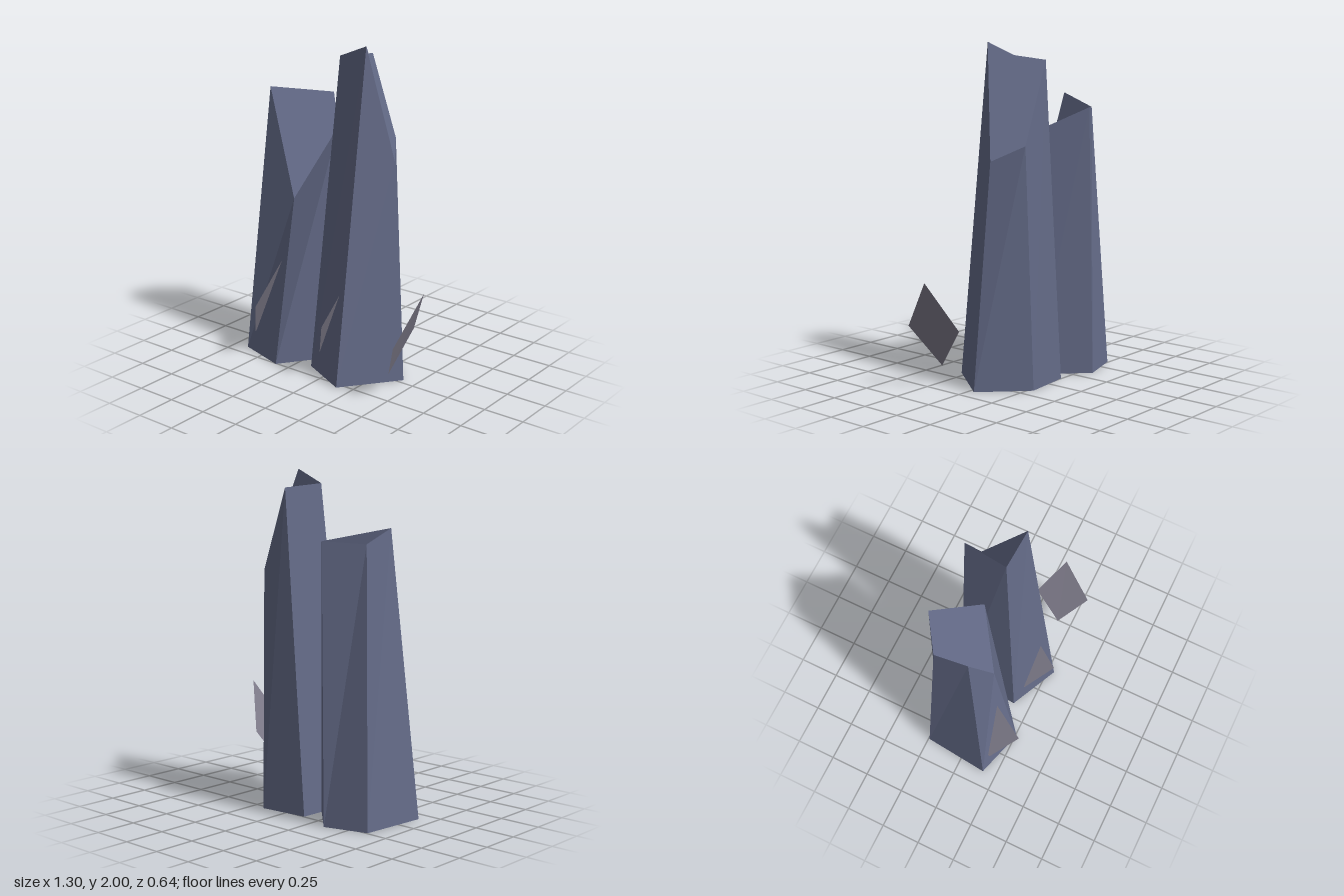
import * as THREE from 'three';

const stone = new THREE.MeshStandardMaterial({ color: 0x646b88 });
stone.name = 'slate blue crystal';
const pale = new THREE.MeshStandardMaterial({ color: 0x807d8c, side: THREE.DoubleSide });
pale.name = 'pale grey shard';

// Flat-faced mesh from a list of triangle corners
function facets(name, corners, material) {
  const geometry = new THREE.BufferGeometry();
  geometry.setAttribute('position', new THREE.Float32BufferAttribute(corners.flat(), 3));
  geometry.computeVertexNormals();
  const mesh = new THREE.Mesh(geometry, material);
  mesh.name = name;
  return mesh;
}

// Five-sided pillar between a flat foot [x, z] and a broken top [x, y, z]
function pillar(name, foot, top) {
  const n = foot.length;
  const base = foot.map(([x, z]) => [x, 0, z]);
  const corners = [];
  for (let i = 0; i < n; i++) {
    const j = (i + 1) % n;
    corners.push(base[i], base[j], top[j], base[i], top[j], top[i]);
  }
  for (let i = 1; i < n - 1; i++) corners.push(base[0], base[i + 1], base[i]);
  // Broken cap fans out from the rear corner
  const capStart = corners.length;
  for (let i = 1; i < n - 1; i++) corners.push(top[3], top[(3 + i) % n], top[(4 + i) % n]);
  const mesh = facets(name, corners, stone);

  // The whole cap shades as one facet
  const capNormal = new THREE.Vector3();
  for (let i = 0; i < n; i++) {
    const a = new THREE.Vector3(...top[i]);
    capNormal.add(a.cross(new THREE.Vector3(...top[(i + 1) % n])));
  }
  capNormal.normalize();
  const normals = mesh.geometry.attributes.normal;
  for (let i = capStart; i < corners.length; i++) {
    normals.setXYZ(i, capNormal.x, capNormal.y, capNormal.z);
  }
  return mesh;
}

// Thin leaning diamond
function shard(name, x) {
  const low = [-0.10, 0.13, 0.175], high = [0.10, 0.66, 0.12];
  const back = [-0.05, 0.37, -0.005], front = [0.03, 0.37, 0.318];
  const mesh = facets(name, [low, front, high, low, high, back], pale);
  mesh.position.x = x;
  return mesh;
}

export function createModel() {
  const group = new THREE.Group();
  group.name = 'crystal cluster';

  group.add(pillar('tallPillar',
    [[-0.155, 0.145], [0.155, 0.292], [0.41, -0.035], [0.165, -0.28], [-0.135, -0.247]],
    [[-0.022, 1.92, 0.022], [0.183, 2, 0.048], [0.302, 1.33, -0.072],
      [0.19, 1.42, -0.237], [0.015, 1.9, -0.242]]));

  group.add(pillar('shortPillar',
    [[-0.655, 0.165], [-0.345, 0.256], [-0.107, -0.068], [-0.355, -0.32], [-0.615, -0.243]],
    [[-0.53, 1.68, 0.045], [-0.32, 1.03, 0.09], [-0.108, 1.475, -0.07],
      [-0.322, 1.615, -0.302], [-0.53, 1.6, -0.165]]));

  group.add(shard('rightShard', -0.477), shard('middleShard', 0.037), shard('leftShard', 0.55));
  return group;
}
